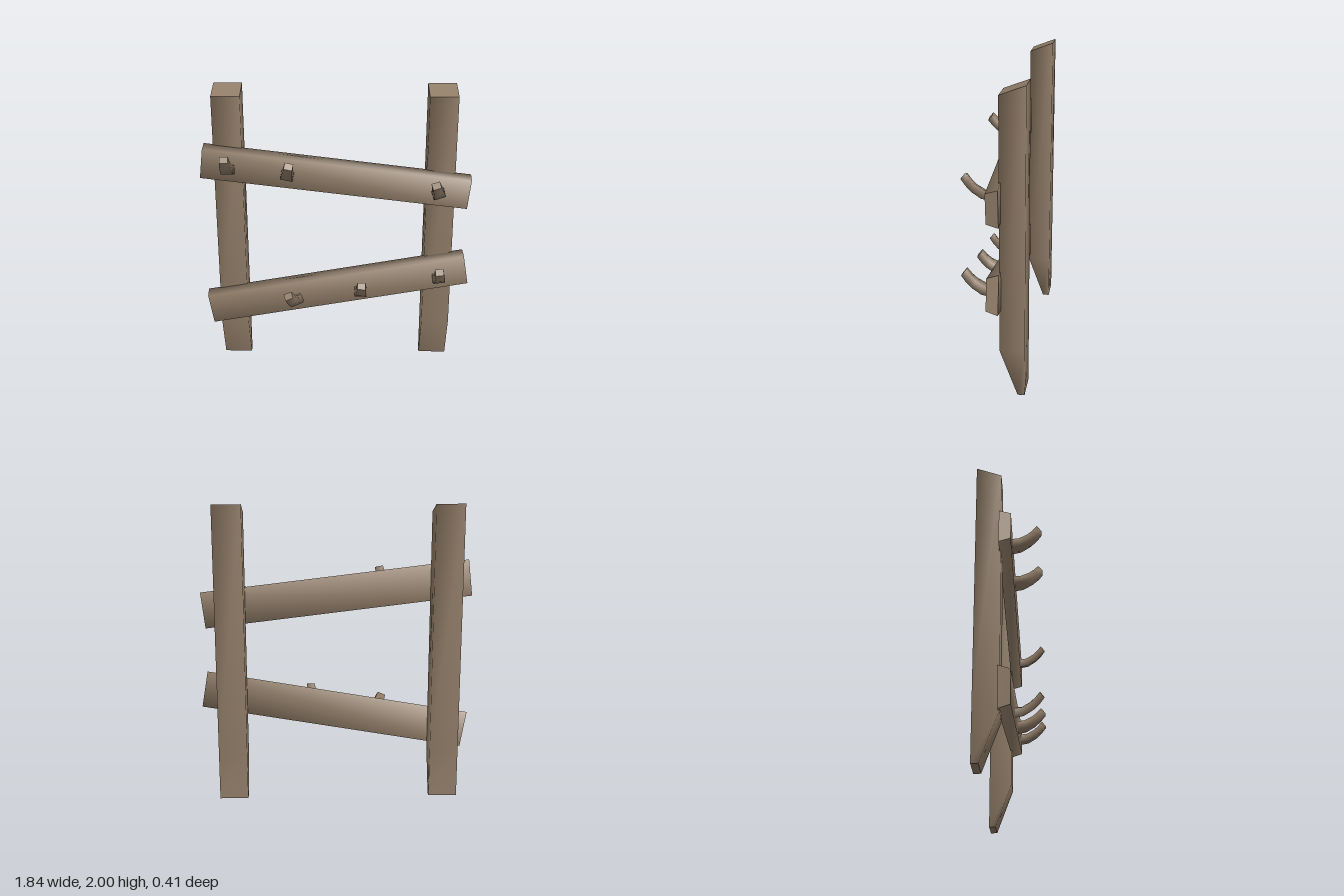
import * as THREE from 'three';
import { mergeVertices } from 'three/addons/utils/BufferGeometryUtils.js';

const wood = new THREE.MeshStandardMaterial({ name: 'wood', color: 0x917d68 });

// Smooth skin through equal-length rings of [x, y, z], with flat end caps.
// Rings run counter-clockwise seen from the end of the path.
function loft(rings) {
  const n = rings[0].length, pos = rings.flat(2), index = [];
  for (let i = 0; i < rings.length - 1; i++) {
    for (let j = 0; j < n; j++) {
      const a = i * n + j, b = i * n + (j + 1) % n;
      index.push(a, b, b + n, a, b + n, a + n);
    }
  }
  const capStart = pos.length / 3, capEnd = capStart + n;
  pos.push(...rings[0].flat(), ...rings[rings.length - 1].flat());
  for (let j = 1; j < n - 1; j++) {
    index.push(capStart, capStart + j + 1, capStart + j);
    index.push(capEnd, capEnd + j, capEnd + j + 1);
  }
  const g = new THREE.BufferGeometry();
  g.setAttribute('position', new THREE.Float32BufferAttribute(pos, 3));
  g.setIndex(index);
  g.computeVertexNormals();
  return mergeVertices(g);
}

function part(name, geometry) {
  const mesh = new THREE.Mesh(geometry, wood);
  mesh.name = name;
  return mesh;
}

// Upright with a slanted top and a sharpened foot
function post(name, x) {
  const w = 0.096, back = -0.205;
  const ring = (front, yFront, yBack) => [
    [w, yFront, front], [w, yBack, back], [-w, yBack, back], [-w, yFront, front],
  ];
  const mesh = part(name, loft([ring(-0.16, 0, 0), ring(-0.045, 0.31, 0.31), ring(-0.045, 1.94, 2)]));
  mesh.position.x = x;
  return mesh;
}

// Crossboard with bevelled long edges
function board(name, x, y, length, height, angle) {
  const h = height / 2, f = h - 0.024;
  const ring = (px) => [[px, f, 0.02], [px, -f, 0.02], [px, -h, -0.055], [px, h, -0.055]];
  const mesh = part(name, loft([ring(-length / 2), ring(length / 2)]));
  mesh.position.set(x, y, 0);
  mesh.rotation.z = angle;
  return mesh;
}

// Upturned tapering hook: half width, lower edge (y, z), upper edge (y, z)
const hookGeometry = loft([
  [0.043, 0, 0.01, 0.062, 0.01],
  [0.041, 0.012, 0.075, 0.066, 0.062],
  [0.036, 0.05, 0.138, 0.096, 0.115],
  [0.032, 0.088, 0.178, 0.126, 0.148],
  [0.028, 0.125, 0.207, 0.162, 0.178],
].map(([w, y0, z0, y1, z1]) => [[w, y1, z1], [-w, y1, z1], [-w, y0, z0], [w, y0, z0]]));

export function createModel() {
  const model = new THREE.Group();
  model.name = 'hookRack';

  model.add(post('rightPost', -0.735), post('leftPost', 0.705));
  model.add(
    board('upperBoard', -0.007, 1.394, 1.812, 0.247, -0.118),
    board('lowerBoard', 0.002, 0.585, 1.817, 0.253, 0.1715),
  );

  // Hooks: base position and tilt
  [
    [-0.727, 1.43, 0.02], [-0.34, 1.39, -0.2], [0.695, 1.268, 0.32],
    [-0.272, 0.48, 0.42], [0.165, 0.545, -0.03], [0.713, 0.65, 0.12],
  ].forEach(([x, y, tilt], i) => {
    const hook = part(`hook${i + 1}`, hookGeometry);
    hook.position.set(x, y, 0);
    hook.rotation.z = tilt;
    model.add(hook);
  });

  return model;
}
